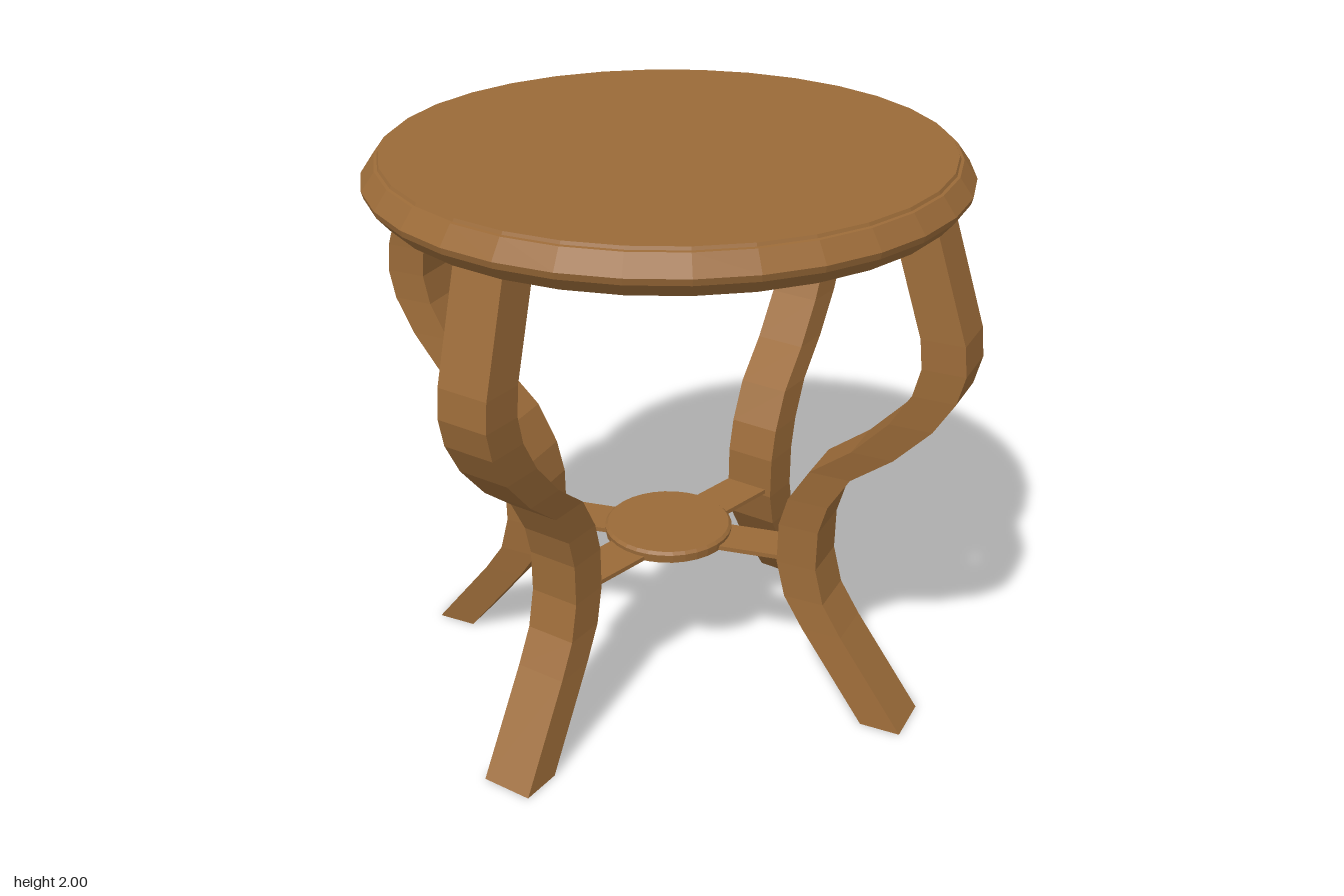
import * as THREE from 'three';

const wood = new THREE.MeshStandardMaterial({ color: 0x9a6a38, flatShading: true });

// Leg centre line: [height, x offset]; z follows x along a slanted plane
const LEG_PATH = [
  [0, 0.667], [0.31, 0.503], [0.42, 0.453], [0.55, 0.43], [0.7, 0.432],
  [0.81, 0.453], [0.94, 0.505], [1.06, 0.605], [1.2, 0.69], [1.32, 0.738],
  [1.42, 0.755], [1.52, 0.748], [1.865, 0.67],
];
const legZ = (x) => 0.643 - 1.155 * (0.755 - x);
const LEG_TURN = 0.714;

function part(name, geometry) {
  const flat = geometry.index ? geometry.toNonIndexed() : geometry;
  flat.computeVertexNormals();
  const mesh = new THREE.Mesh(flat, wood);
  mesh.name = name;
  return mesh;
}

function lathe(name, profile, segments) {
  const points = profile.map(([r, y]) => new THREE.Vector2(r, y));
  return part(name, new THREE.LatheGeometry(points, segments));
}

// A turned rectangular section shifted sideways row by row along the path
function legGeometry(sx, sz) {
  const rows = LEG_PATH.length - 1;
  const geo = new THREE.BoxGeometry(0.145, rows, 0.184, 1, rows, 1);
  geo.rotateY(-sx * sz * LEG_TURN);
  const p = geo.attributes.position;
  for (let i = 0; i < p.count; i++) {
    const [y, x] = LEG_PATH[Math.round(p.getY(i) + rows / 2)];
    p.setXYZ(i, p.getX(i) + sx * x, y, p.getZ(i) + sz * legZ(x));
  }
  return geo;
}

// Flat bar from the centre to the waist of a leg
function barGeometry(sx, sz) {
  const x = 0.432, z = legZ(x);
  const length = Math.hypot(x, z);
  const geo = new THREE.BoxGeometry(length, 0.016, 0.16);
  geo.translate(length / 2, 0.568, 0);
  geo.rotateY(-Math.atan2(sz * z, sx * x));
  return geo;
}

export function createModel() {
  const model = new THREE.Group();
  model.name = 'roundTable';

  // Round top with a rounded rim and a slightly raised panel
  model.add(lathe('tableTop', [
    [0, 1.86], [0.945, 1.86], [0.984, 1.905], [0.99, 1.927],
    [0.945, 1.988], [0.935, 1.99], [0.93, 2], [0, 2],
  ], 32));

  // Four curved legs and the bars joining them
  for (const sx of [1, -1]) {
    for (const sz of [1, -1]) {
      const label = (sz > 0 ? 'front' : 'back') + (sx > 0 ? 'Left' : 'Right');
      model.add(part(label + 'Leg', legGeometry(sx, sz)));
      model.add(part(label + 'Bar', barGeometry(sx, sz)));
    }
  }

  // Small disc where the bars meet
  model.add(lathe('centreDisc', [
    [0, 0.56], [0.225, 0.56], [0.228, 0.59], [0.218, 0.6], [0, 0.6],
  ], 32));

  return model;
}
